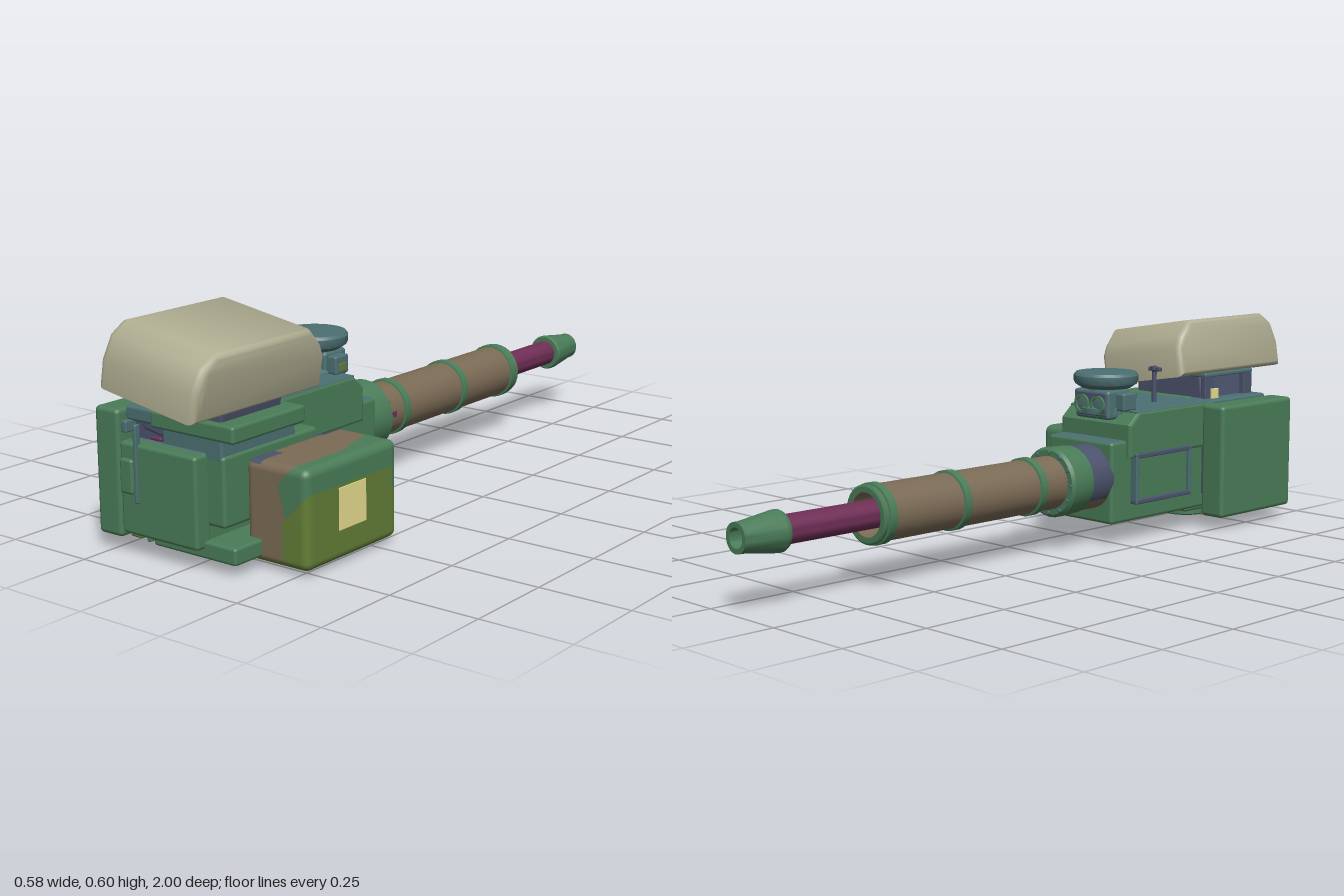
import * as THREE from 'three';
import { toCreasedNormals } from 'three/addons/utils/BufferGeometryUtils.js';
import { RoundedBoxGeometry } from 'three/addons/geometries/RoundedBoxGeometry.js';

const mat = (name, color) => Object.assign(new THREE.MeshStandardMaterial({ color }), { name });

export function createModel() {
  const green = mat('green', 0x4a7c58), teal = mat('teal', 0x4c7072), slate = mat('slate', 0x4b526c);
  const brown = mat('brown', 0x7b6b55), olive = mat('olive', 0x627e36), plum = mat('plum', 0x6f2e56);
  const beige = mat('beige', 0xaeac90), cream = mat('cream', 0xefe394), dark = mat('dark', 0x2f3a3c);
  // Camouflaged box faces: sides, top and underside
  const faces = (side, top, bottom) => [side, side, top, bottom, side, side];
  const greenOlive = faces(green, green, olive);
  const model = new THREE.Group();
  model.name = 'autocannon';

  const add = (name, geo, material, parent = model) => {
    const m = new THREE.Mesh(geo, material);
    m.name = name;
    parent.add(m);
    return m;
  };
  // Rounded box given by its extents on each axis
  const box = (name, material, [x0, x1], [y0, y1], [z0, z1], r = 0.008, parent = model) => {
    const m = add(name, new RoundedBoxGeometry(x1 - x0, y1 - y0, z1 - z0, 2, r), material, parent);
    m.position.set((x0 + x1) / 2, (y0 + y1) / 2, (z0 + z1) / 2);
    return m;
  };
  // Turned part; profile is [radius, distance along the axis]
  const turned = (name, material, pts, parent = model) => add(name, toCreasedNormals(
    new THREE.LatheGeometry(pts.map(p => new THREE.Vector2(...p)), 32), 0.5), material, parent);

  // Receiver
  box('lowerReceiver', faces(green, teal, olive), [-0.2, 0.045], [0.06, 0.292], [0.21, 0.88], 0.01);
  const side = new THREE.Shape([[-0.64, 0.24], [-0.64, 0.37], [-0.31, 0.37], [-0.27, 0.335], [-0.27, 0.24]]
    .map(p => new THREE.Vector2(...p)));
  const upper = new THREE.ExtrudeGeometry(side, { depth: 0.25, bevelSize: 0.008, bevelThickness: 0.008,
    bevelOffset: -0.008, bevelSegments: 2 });
  upper.rotateY(Math.PI / 2);
  add('upperReceiver', upper, green).position.x = -0.206;
  box('upperTopPlate', teal, [-0.21, 0.048], [0.364, 0.372], [0.305, 0.64], 0.003);
  box('rearDeck', teal, [-0.1, 0.095], [0.27, 0.345], [0.6, 0.87]);
  box('rearRecess', slate, [-0.205, -0.095], [0.27, 0.34], [0.6, 0.865]);
  box('rearDeckLeftRail', teal, [-0.212, -0.12], [0.335, 0.373], [0.6, 0.88]);
  box('recessCatch', plum, [-0.135, -0.1], [0.296, 0.304], [0.86, 0.875], 0.003);
  box('feedBlock', greenOlive, [0.03, 0.1], [0.11, 0.29], [0.52, 0.87], 0.01);
  box('feedChute', slate, [0.04, 0.12], [0.115, 0.25], [0.45, 0.6], 0.01);

  // Framed hatch on the right flank
  box('hatch', green, [-0.212, -0.19], [0.11, 0.25], [0.3, 0.52], 0.004);
  for (const y of [0.11, 0.24]) box('hatchFrame', slate, [-0.222, -0.19], [y, y + 0.013], [0.29, 0.53], 0.003);
  for (const z of [0.29, 0.517]) box('hatchFrame', teal, [-0.222, -0.19], [0.11, 0.253], [z, z + 0.013], 0.003);

  // Rear plate, rails, handle and side armour
  box('rearPlate', greenOlive, [-0.205, 0.047], [0.055, 0.29], [0.86, 0.912], 0.01);
  box('topRail', green, [-0.125, 0.145], [0.33, 0.374], [0.62, 0.885], 0.008);
  box('bottomRail', greenOlive, [-0.125, 0.145], [0.03, 0.075], [0.62, 0.885], 0.008);
  box('sideArmour', greenOlive, [-0.29, -0.21], [0.038, 0.366], [0.585, 0.91], 0.012);
  box('armourBracket', slate, [-0.225, -0.19], [0.1, 0.33], [0.6, 0.85], 0.006);
  box('rearHandle', green, [-0.2, -0.157], [0.16, 0.25], [0.9, 0.92], 0.008);
  box('rearRod', teal, [-0.153, -0.142], [0.14, 0.34], [0.9, 0.918], 0.004);
  box('rearRodFoot', green, [-0.153, -0.142], [0.032, 0.07], [0.85, 0.88], 0.004);
  box('rearFoot', olive, [-0.2, -0.16], [0.04, 0.07], [0.82, 0.89], 0.006);
  box('rearLatch', teal, [-0.21, -0.192], [0.308, 0.338], [0.86, 0.9], 0.004);

  // Mounting pivot underneath
  const pivot = new THREE.Group();
  pivot.name = 'mountPivot';
  pivot.position.set(-0.013, 0, 0.75);
  model.add(pivot);
  turned('pivotDisc', green, [[0.062, 0], [0.067, 0.004], [0.067, 0.021], [0.062, 0.025], [0, 0.025]], pivot);
  turned('pivotFace', brown, [[0, 0], [0.062, 0]], pivot);

  // Barrel group: the turning axis points to -z
  const barrel = new THREE.Group();
  barrel.name = 'barrel';
  barrel.position.set(-0.11, 0.19, 0);
  barrel.rotation.x = -Math.PI / 2;
  model.add(barrel);
  // Camouflage patch wrapped under a turned part
  const under = (name, material, r0, r1, u0, u1, sweep) => {
    add(name, new THREE.CylinderGeometry(r1, r0, u1 - u0, 24, 1, true, Math.PI - sweep / 2, sweep), material, barrel)
      .position.y = (u0 + u1) / 2;
  };
  turned('barrelSocket', slate, [[0.091, -0.22], [0.091, -0.12]], barrel);
  under('socketPatch', brown, 0.0925, 0.0925, -0.215, -0.135, 1.9);
  turned('barrelCollar', green, [[0.085, -0.14], [0.094, -0.135], [0.098, -0.06], [0.09, -0.052], [0.07, -0.052]], barrel);
  under('collarPatch', olive, 0.0952, 0.0992, -0.134, -0.061, 1.2);
  turned('jacket', brown, [[0.074, -0.08], [0.074, 0.6], [0.058, 0.6], [0.058, 0.5], [0, 0.5]], barrel);
  for (const u of [0.04, 0.32, 0.575]) {
    turned('jacketBand', green, [[0.07, u - 0.014], [0.08, u - 0.011], [0.08, u + 0.011], [0.07, u + 0.014]], barrel);
  }
  turned('jacketLip', green, [[0.074, 0.59], [0.077, 0.592], [0.077, 0.6], [0.072, 0.603], [0.058, 0.603]], barrel);
  turned('innerBarrel', plum, [[0.037, 0.45], [0.037, 0.9]], barrel);
  turned('muzzle', green, [[0.03, 0.87], [0.05, 0.87], [0.053, 0.876], [0.053, 0.885], [0.039, 0.985], [0.039, 1],
    [0.026, 1], [0.026, 0.95]], barrel);
  turned('bore', dark, [[0.027, 0.96], [0, 0.96]], barrel);
  box('jacketSlot', plum, [-0.04, -0.034], [0.183, 0.199], [0.01, 0.056], 0.002);
  for (let i = 0; i < 12; i++) {
    const a = i * Math.PI / 6;
    add('collarBolt', new THREE.CylinderGeometry(0.006, 0.006, 0.008, 8), teal, barrel)
      .position.set(Math.cos(a) * 0.084, -0.05, Math.sin(a) * 0.084);
  }

  // Ammunition box with camouflage chosen per face region
  const W = 0.192, H = 0.255, D = 0.355, R = 0.022, C = new THREE.Vector3(0.191, 0.1425, 0.6125);
  const ammo = new THREE.BoxGeometry(W, H, D, 40, 48, 40);
  const pos = ammo.attributes.position, nor = ammo.attributes.normal;
  const p = new THREE.Vector3(), q = new THREE.Vector3();
  const lim = new THREE.Vector3(W / 2 - R, H / 2 - R, D / 2 - R);
  for (let i = 0; i < pos.count; i++) {
    p.fromBufferAttribute(pos, i);
    q.copy(p).clamp(lim.clone().negate(), lim);
    p.sub(q).normalize();
    nor.setXYZ(i, p.x, p.y, p.z);
    p.multiplyScalar(R).add(q);
    pos.setXYZ(i, p.x, p.y, p.z);
  }
  const camo = ({ x, y, z }) => {
    if (y < 0.026) return 2;
    if (y > 0.25 && ((x < 0.12 && z < 0.52) || (x < 0.14 && z > 0.7 && y > 0.262))) return 3;
    if (z < 0.46 && y < 0.255) return y < 0.15 ? 2 : 1;
    if (x > 0.21 && y < 0.14 + (x - 0.22)) return 2;
    const edge = y > 0.22 ? 0.196 + (y - 0.22) * 0.9 : 0.196 + (0.22 - y) * 0.3;
    return x > edge - Math.max(0, 0.6 - z) * 0.3 ? 1 : 0;
  };
  const lists = [[], [], [], []], idx = ammo.index.array;
  for (let i = 0; i < idx.length; i += 3) {
    p.copy(C);
    for (let k = 0; k < 3; k++) p.addScaledVector(q.fromBufferAttribute(pos, idx[i + k]), 1 / 3);
    lists[camo(p)].push(idx[i], idx[i + 1], idx[i + 2]);
  }
  ammo.setIndex(lists.flat());
  ammo.clearGroups();
  let start = 0;
  lists.forEach((l, i) => { ammo.addGroup(start, l.length, i); start += l.length; });
  add('ammoBox', ammo, [brown, green, olive, slate]).position.copy(C);
  box('ammoLabel', cream, [0.282, 0.289], [0.092, 0.2], [0.565, 0.67], 0.001);
  box('ammoShelf', greenOlive, [0.07, 0.185], [0.024, 0.036], [0.56, 0.785], 0.004);

  // Tilted sight: pedestal and hood
  const sight = new THREE.Group();
  sight.name = 'sight';
  sight.position.set(-0.012, 0.502, 0.768);
  sight.rotation.z = -0.165;
  model.add(sight);
  box('sightPedestal', slate, [-0.125, 0.125], [-0.21, -0.07], [-0.12, 0.1], 0.01, sight);
  const profile = new THREE.Shape([[-0.232, -0.081], [0.232, -0.081], [0.232, 0.005], [0.215, 0.037],
    [0.17, 0.081], [-0.17, 0.081], [-0.21, 0.052], [-0.232, -0.01]].map(a => new THREE.Vector2(...a)));
  const hood = new THREE.ExtrudeGeometry(profile, { depth: 0.272, bevelSize: 0.02, bevelThickness: 0.02,
    bevelOffset: -0.02, bevelSegments: 4 });
  hood.translate(0, 0, -0.136).rotateY(Math.PI / 2);
  add('sightHood', toCreasedNormals(hood, 0.8), beige, sight);
  for (const [x, z] of [[-0.168, 0.66], [-0.168, 0.84], [-0.122, 0.84]]) {
    box('sightPost', slate, [x - 0.009, x + 0.009], [0.35, 0.445], [z - 0.02, z + 0.02], 0.004);
  }
  box('sightPostBar', teal, [-0.178, -0.1], [0.435, 0.447], [0.64, 0.86], 0.004);
  box('sideTab', cream, [-0.187, -0.179], [0.37, 0.402], [0.66, 0.69], 0.002);

  // Optical head with twin lenses facing along the barrel
  const head = new THREE.Group();
  head.name = 'opticalHead';
  head.position.set(-0.085, 0, 0.31);
  model.add(head);
  turned('headDrum', teal, [[0.075, 0.36], [0.075, 0.375], [0.058, 0.385], [0.058, 0.44]], head);
  turned('headCap', teal, [[0, 0.43], [0.07, 0.43], [0.088, 0.442], [0.092, 0.45], [0.092, 0.466], [0.086, 0.474],
    [0, 0.476]], head);
  box('lensHousing', teal, [-0.064, 0.064], [0.345, 0.428], [-0.06, 0.03], 0.01, head);
  box('lensFace', slate, [-0.056, 0.056], [0.355, 0.42], [-0.064, -0.056], 0.003, head);
  for (const s of [-1, 1]) {
    box('headEar', teal, [s * 0.08 - 0.016, s * 0.08 + 0.016], [0.37, 0.42], [-0.03, 0.025], 0.006, head);
    const lens = new THREE.Group();
    lens.name = 'lens';
    lens.position.set(s * 0.03, 0.387, -0.06);
    lens.rotation.x = -Math.PI / 2;
    head.add(lens);
    turned('lensRing', green, [[0.026, -0.01], [0.026, 0.012], [0.019, 0.012], [0.019, 0.004]], lens);
    turned('lensGlass', teal, [[0.02, 0.005], [0, 0.009]], lens);
  }
  box('headSidePatch', olive, [0.092, 0.098], [0.378, 0.4], [-0.016, 0.012], 0.002, head);

  // Small mast on the upper deck
  const mast = turned('mast', slate, [[0.007, 0.365], [0.007, 0.46], [0.01, 0.465], [0.01, 0.475], [0, 0.478]]);
  mast.position.set(-0.105, 0, 0.495);
  box('mastArm', slate, [-0.13, -0.085], [0.462, 0.474], [0.489, 0.501], 0.003);

  return model;
}
